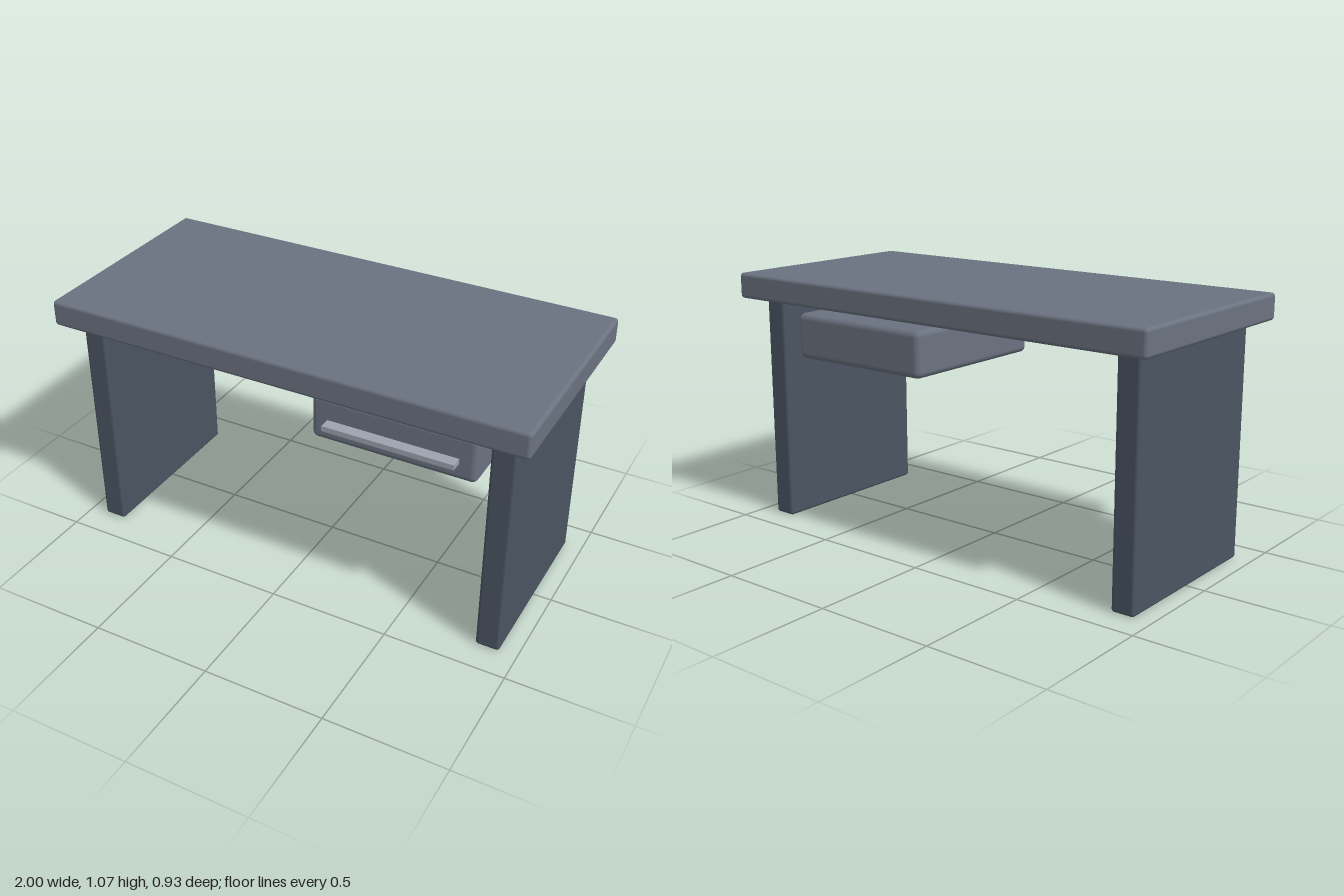
import * as THREE from 'three';
import { RoundedBoxGeometry } from 'three/addons/geometries/RoundedBoxGeometry.js';

// Box given by its [min, max] extents on each axis; radius 0 keeps sharp edges
function box(name, color, [x0, x1], [y0, y1], [z0, z1], radius) {
  const size = [x1 - x0, y1 - y0, z1 - z0];
  const geometry = radius
    ? new RoundedBoxGeometry(...size, 4, radius)
    : new THREE.BoxGeometry(...size);
  const mesh = new THREE.Mesh(geometry, new THREE.MeshStandardMaterial({ color }));
  mesh.name = name;
  mesh.position.set((x0 + x1) / 2, (y0 + y1) / 2, (z0 + z1) / 2);
  return mesh;
}

export function createModel() {
  const desk = new THREE.Group();
  desk.name = 'desk';

  // Desktop slab
  desk.add(box('desktop', 0x6b7280, [-1, 1], [0.958, 1.065], [-0.465, 0.465], 0.015));

  // Panel legs, one at each end
  desk.add(box('leftLeg', 0x4b5563, [0.83, 0.928], [0, 0.958], [-0.38, 0.38], 0.013));
  desk.add(box('rightLeg', 0x4b5563, [-0.928, -0.83], [0, 0.958], [-0.38, 0.38], 0.013));

  // Drawer hung below the desktop, with a bar handle
  const drawer = new THREE.Group();
  drawer.name = 'drawer';
  drawer.add(box('drawerBox', 0x6b7280, [0.1, 0.775], [0.71, 0.903], [-0.353, 0.353], 0.026));
  drawer.add(box('drawerHandle', 0x9ca3af, [0.17, 0.705], [0.784, 0.806], [0.345, 0.4], 0));
  desk.add(drawer);

  return desk;
}
